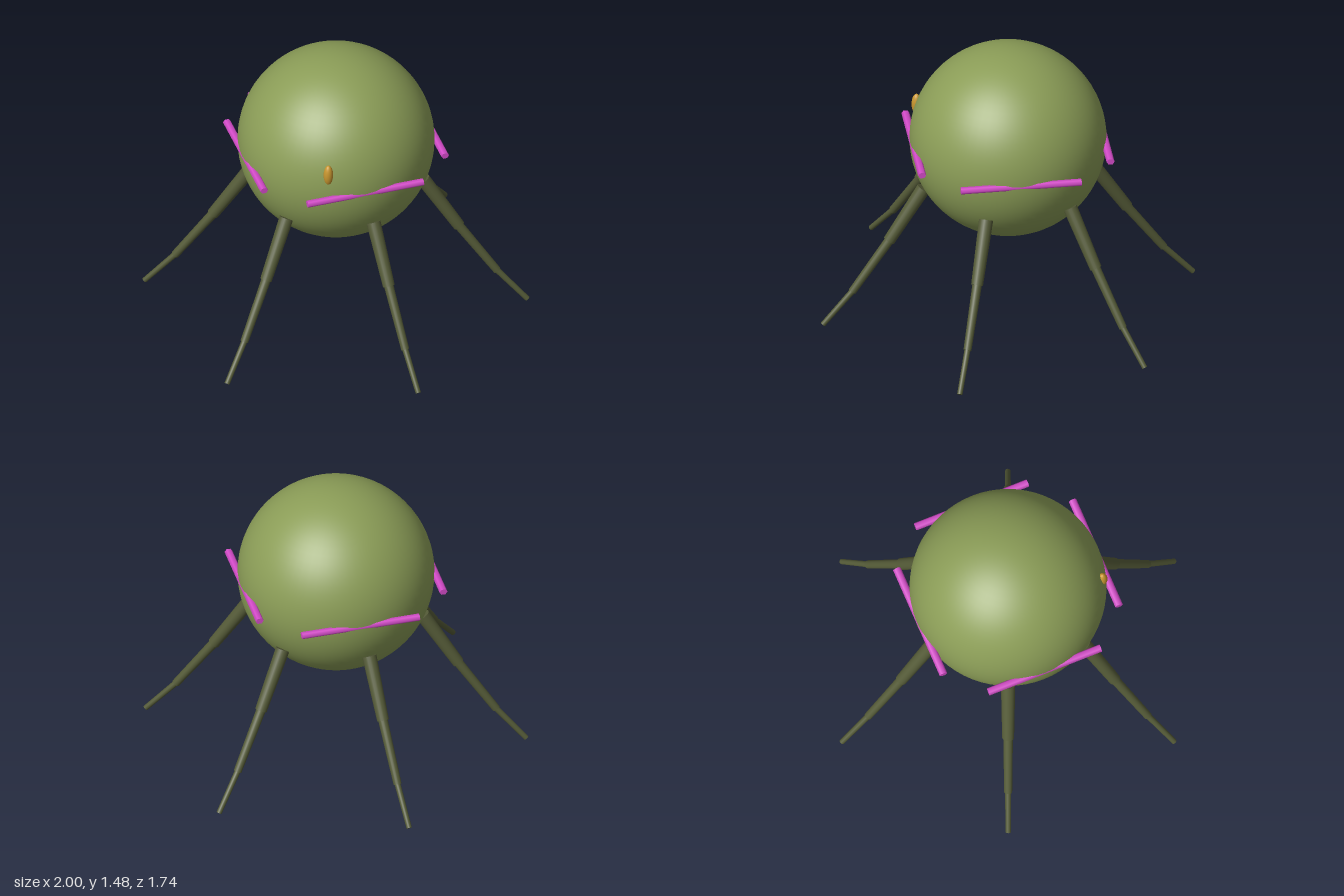
import * as THREE from 'three';

const material = (name, color) => {
  const m = new THREE.MeshStandardMaterial({ color });
  m.name = name;
  return m;
};

export function createModel() {
  const model = new THREE.Group();
  model.name = 'walkingPod';
  const bodyGreen = material('bodyGreen', 0x8b9d57);
  const legOlive = material('legOlive', 0x545a37);
  const bandMagenta = material('bandMagenta', 0xd64ccb);
  const eyeAmber = material('eyeAmber', 0xc8962f);
  const centreY = 0.977;

  const add = (parent, name, geometry, mat) => {
    const mesh = new THREE.Mesh(geometry, mat);
    mesh.name = name;
    parent.add(mesh);
    return mesh;
  };

  // Round body
  add(model, 'body', new THREE.SphereGeometry(0.508, 64, 40), bodyGreen).position.y = centreY;

  // Single upright eye on the front
  const eye = add(model, 'eye', new THREE.SphereGeometry(1, 24, 16), eyeAmber);
  eye.scale.set(0.025, 0.06, 0.026);
  eye.position.set(0, 1.105, 0.487);

  // Four straight bars, tangent to the body at its equator
  for (let i = 0; i < 4; i++) {
    const holder = new THREE.Group();
    holder.name = 'bar' + (i + 1);
    holder.rotation.y = Math.PI / 8 + (i * Math.PI) / 2;
    const geometry = new THREE.CylinderGeometry(0.021, 0.021, 0.627, 6);
    geometry.rotateZ(Math.PI / 2);
    geometry.scale(1, 0.85, 1);
    add(holder, 'barRod', geometry, bandMagenta).position.set(0, centreY, 0.49);
    model.add(holder);
  }

  // Leg segment between two [radius, height] points in the leg's plane
  const up = new THREE.Vector3(0, 1, 0);
  const segment = (leg, name, from, to, rTop, rBottom) => {
    const a = new THREE.Vector3(from[0], from[1], 0);
    const b = new THREE.Vector3(to[0], to[1], 0);
    const mesh = add(leg, name, new THREE.CylinderGeometry(rTop, rBottom, a.distanceTo(b), 20), legOlive);
    mesh.position.copy(a).add(b).multiplyScalar(0.5);
    mesh.quaternion.setFromUnitVectors(up, a.sub(b).normalize());
  };

  // Six legs of three tapering segments each
  for (let i = 0; i < 6; i++) {
    const leg = new THREE.Group();
    leg.name = 'leg' + (i + 1);
    leg.rotation.y = (i * Math.PI) / 3;
    segment(leg, 'upperLeg', [0.45, 0.745], [0.635, 0.46], 0.037, 0.031);
    segment(leg, 'middleLeg', [0.63, 0.466], [0.832, 0.184], 0.025, 0.021);
    segment(leg, 'lowerLeg', [0.827, 0.19], [0.989, 0.01], 0.016, 0.014);
    model.add(leg);
  }

  return model;
}
